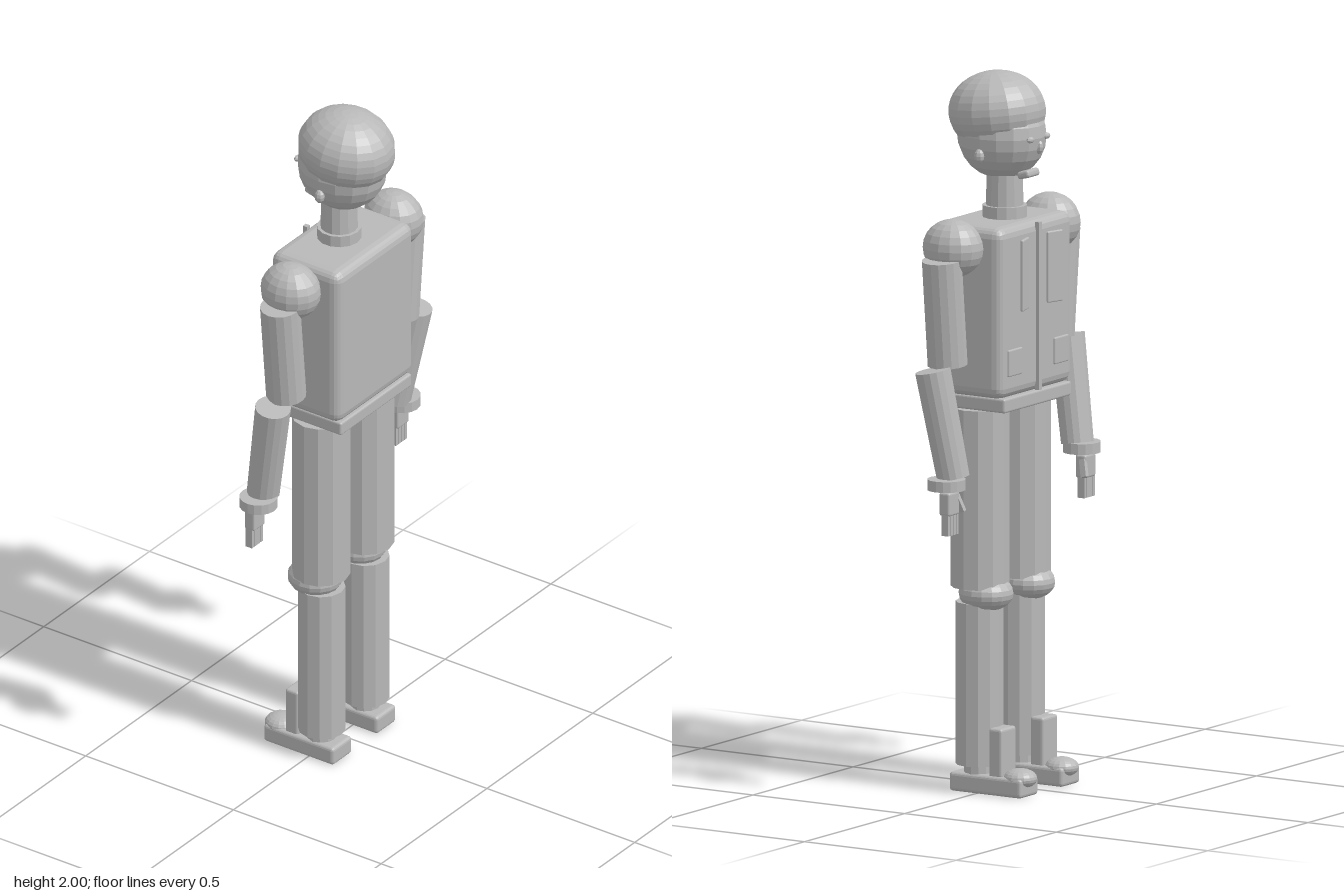
import * as THREE from 'three';
import { RoundedBoxGeometry } from 'three/addons/geometries/RoundedBoxGeometry.js';

export function createModel() {
  const model = new THREE.Group();
  model.name = 'figure';
  const grey = new THREE.MeshStandardMaterial({ color: 0xb8b8b8, flatShading: true, side: THREE.DoubleSide });
  grey.name = 'plain grey';

  const add = (name, geometry, x, y, z, parent = model) => {
    const mesh = new THREE.Mesh(geometry, grey);
    mesh.name = name;
    mesh.position.set(x, y, z);
    parent.add(mesh);
    return mesh;
  };
  const box = (w, h, d) => new THREE.BoxGeometry(w, h, d);
  const rounded = (w, h, d, r) => new RoundedBoxGeometry(w, h, d, 2, r);
  const ball = (rx, ry, rz, sweep = Math.PI, sides = 16, rings = 12) =>
    new THREE.SphereGeometry(1, sides, rings, 0, Math.PI * 2, 0, sweep).scale(rx, ry, rz);
  // Cylinder running between two points
  const limb = (name, from, to, rTop, rBottom, sides, parent) => {
    const a = new THREE.Vector3(...from), b = new THREE.Vector3(...to);
    const mid = a.clone().add(b).multiplyScalar(0.5);
    const mesh = add(name, new THREE.CylinderGeometry(rTop, rBottom, a.distanceTo(b), sides), mid.x, mid.y, mid.z, parent);
    mesh.quaternion.setFromUnitVectors(new THREE.Vector3(0, 1, 0), a.sub(b).normalize());
    return mesh;
  };

  // Head, turned towards -z
  add('head', ball(0.112, 0.125, 0.13), 0, 1.825, 0.01);
  add('hair', ball(0.127, 0.113, 0.14, Math.PI * 0.67), 0, 1.887, 0.025).rotation.x = 0.11;
  add('nose', ball(0.011, 0.02, 0.014, Math.PI, 8, 6), 0, 1.8, -0.112);
  add('chin', rounded(0.06, 0.022, 0.04, 0.008), 0, 1.722, -0.078).rotation.x = 0.25;

  // Neck and trunk
  add('neck', new THREE.CylinderGeometry(0.05, 0.053, 0.14, 14), 0, 1.66, 0);
  add('collar', new THREE.CylinderGeometry(0.062, 0.062, 0.04, 14), 0, 1.608, 0);
  add('torso', rounded(0.366, 0.48, 0.235, 0.03), 0, 1.355, 0.01);
  add('belt', rounded(0.335, 0.04, 0.236, 0.006), 0, 1.098, 0.008);
  add('frontClosure', box(0.014, 0.47, 0.014), 0, 1.355, -0.111);

  for (const s of [-1, 1]) {
    const side = s > 0 ? 'left' : 'right';

    // Face and jacket details
    add(side + 'Ear', ball(0.014, 0.02, 0.015, Math.PI, 8, 6), s * 0.109, 1.778, 0.012);
    add(side + 'Eye', ball(0.014, 0.009, 0.009, Math.PI, 8, 6), s * 0.04, 1.825, -0.111);
    add(side + 'ChestPanel', rounded(0.056, 0.2, 0.01, 0.004), s * 0.074, 1.455, -0.115).rotation.y = s * 0.28;
    add(side + 'Pocket', rounded(0.07, 0.075, 0.014, 0.004), s * 0.115, 1.215, -0.106);

    // Arm
    const arm = new THREE.Group();
    arm.name = side + 'Arm';
    model.add(arm);
    add('shoulder', ball(0.075, 0.081, 0.088), s * 0.243, 1.542, 0.01, arm);
    limb('upperArm', [s * 0.296, 1.517, 0.012], [s * 0.267, 1.22, 0.012], 0.056, 0.056, 16, arm);
    limb('forearm', [s * 0.335, 1.213, 0.016], [s * 0.31, 0.915, -0.035], 0.05, 0.046, 16, arm);
    add('cuff', new THREE.CylinderGeometry(0.053, 0.053, 0.03, 16), s * 0.338, 0.9, -0.031, arm);

    // Hand: palm, four fingers and a thumb
    add('palm', rounded(0.054, 0.065, 0.034, 0.006), s * 0.34, 0.848, -0.042, arm);
    for (let i = 0; i < 4; i++) {
      add('finger', box(0.0115, 0.06, 0.022), s * (0.3195 + i * 0.0137), 0.79, -0.044, arm);
    }
    const thumb = add('thumb', box(0.013, 0.05, 0.018), s * 0.311, 0.845, -0.055, arm);
    thumb.rotation.set(0.3, 0, s * -0.25);

    // Leg
    const leg = new THREE.Group();
    leg.name = side + 'Leg';
    leg.position.x = s * 0.104;
    model.add(leg);
    add('thigh', new THREE.CylinderGeometry(0.081, 0.081, 0.502, 12), 0, 0.826, 0.013, leg);
    add('knee', ball(0.074, 0.051, 0.078), 0, 0.557, -0.007, leg);
    add('shin', new THREE.CylinderGeometry(0.066, 0.066, 0.455, 12), 0, 0.305, 0.015, leg);
    add('ankle', new THREE.CylinderGeometry(0.042, 0.042, 0.05, 12), 0, 0.07, 0.015, leg);

    // Foot
    add('sole', rounded(0.092, 0.054, 0.237, 0.01), 0, 0.027, -0.032, leg);
    add('bootFront', rounded(0.076, 0.14, 0.044, 0.008), 0, 0.117, -0.061, leg);
    add('toe', ball(0.046, 0.028, 0.048), 0, 0.049, -0.12, leg);
  }
  return model;
}
